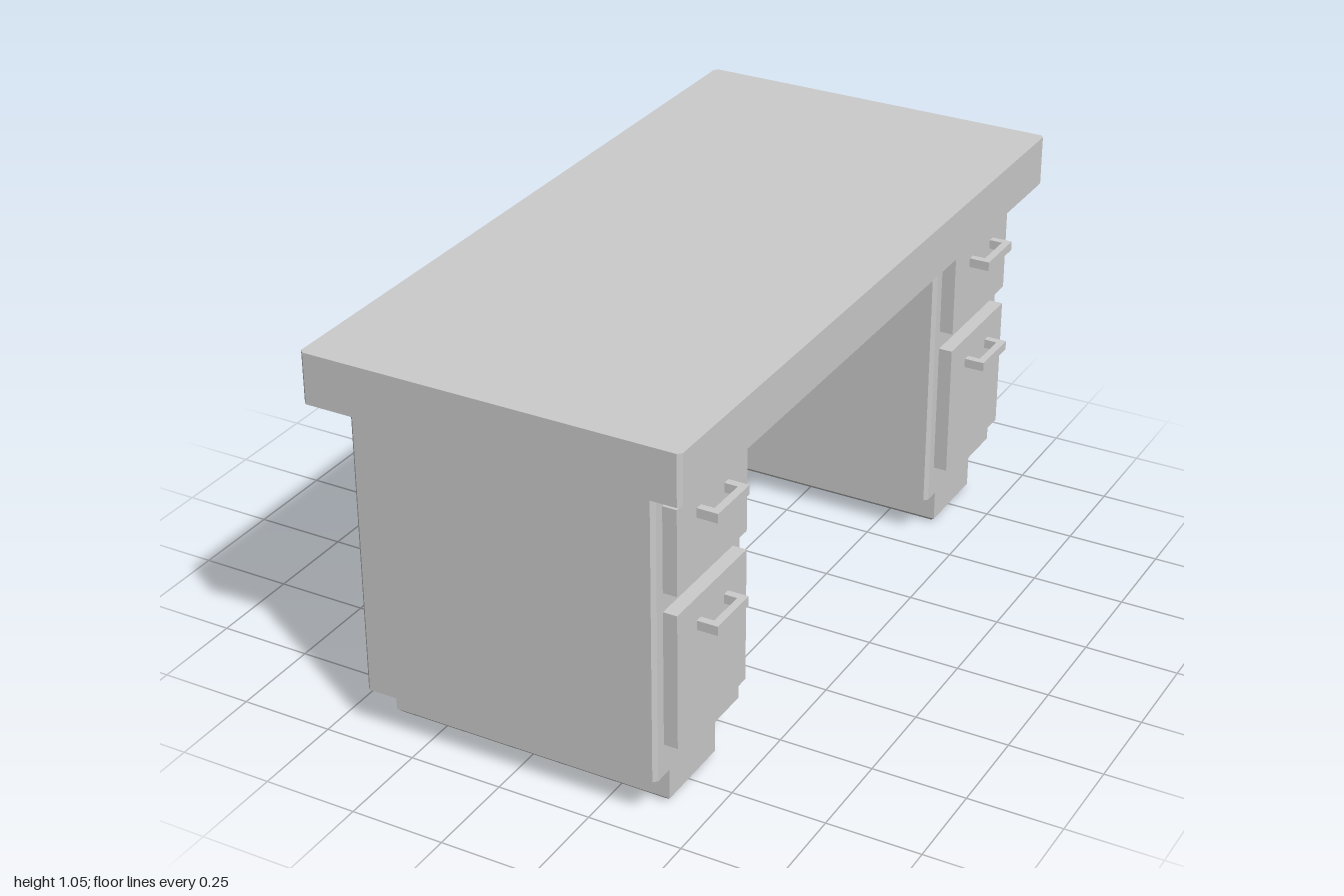
import * as THREE from 'three';

const material = new THREE.MeshStandardMaterial({ color: 0xcccccc, flatShading: true });

function addMesh(parent, name, geometry, x = 0, y = 0, z = 0) {
  const mesh = new THREE.Mesh(geometry, material);
  mesh.name = name;
  mesh.position.set(x, y, z);
  parent.add(mesh);
  return mesh;
}

// Upright block with chamfered vertical edges, standing on y = 0
function chamferedBlock(width, height, depth, c) {
  const w = width / 2, d = depth / 2;
  const shape = new THREE.Shape([
    [w - c, -d], [w, -d + c], [w, d - c], [w - c, d],
    [-w + c, d], [-w, d - c], [-w, -d + c], [-w + c, -d],
  ].map(([x, y]) => new THREE.Vector2(x, y)));
  return new THREE.ExtrudeGeometry(shape, { depth: height, bevelEnabled: false }).rotateX(-Math.PI / 2);
}

// Base block whose bottom rim is chamfered
function plinthGeometry(width, height, depth, c) {
  const geometry = new THREE.BoxGeometry(width, height, depth, 1, 2, 1).translate(0, height / 2, 0);
  const p = geometry.attributes.position;
  for (let i = 0; i < p.count; i++) {
    const y = p.getY(i);
    if (y < 1e-6) {
      p.setX(i, p.getX(i) - Math.sign(p.getX(i)) * c);
      p.setZ(i, p.getZ(i) - Math.sign(p.getZ(i)) * c);
    } else if (y < height * 0.75) p.setY(i, c);
  }
  geometry.computeVertexNormals();
  return geometry;
}

// U-shaped pull: two posts joined by a bar, reaching out along +x
function handleGeometry(length, reach, height, t) {
  const l = length / 2;
  const shape = new THREE.Shape([
    [0, -l], [reach, -l], [reach, l], [0, l],
    [0, l - t], [reach - t, l - t], [reach - t, -l + t], [0, -l + t],
  ].map(([x, y]) => new THREE.Vector2(x, y)));
  return new THREE.ExtrudeGeometry(shape, { depth: height, bevelEnabled: false })
    .rotateX(-Math.PI / 2).translate(0, -height / 2, 0);
}

export function createModel() {
  const desk = new THREE.Group();
  desk.name = 'desk';

  addMesh(desk, 'desktop', chamferedBlock(1.006, 0.135, 2, 0.01), 0, 0.914);

  const drawers = [
    { name: 'upperDrawer', bottom: 0.625, top: 0.852, handleY: 0.798 },
    { name: 'lowerDrawer', bottom: 0.21, top: 0.574, handleY: 0.499 },
  ];

  // Two drawer pedestals, one at each end
  for (const [name, z] of [['frontPedestal', 0.746], ['backPedestal', -0.746]]) {
    const pedestal = new THREE.Group();
    pedestal.name = name;
    pedestal.position.z = z;
    desk.add(pedestal);

    addMesh(pedestal, 'plinth', plinthGeometry(0.78, 0.123, 0.224, 0.013));
    addMesh(pedestal, 'cabinet', chamferedBlock(0.816, 0.791, 0.415, 0.01), 0, 0.123);

    for (const { name: drawer, bottom, top, handleY } of drawers) {
      addMesh(pedestal, drawer + 'Front', new THREE.BoxGeometry(0.04, top - bottom, 0.333),
        0.425, (top + bottom) / 2, 0.003);
      addMesh(pedestal, drawer + 'Handle', handleGeometry(0.15, 0.055, 0.025, 0.02),
        0.445, handleY, 0.003);
    }
  }
  return desk;
}
